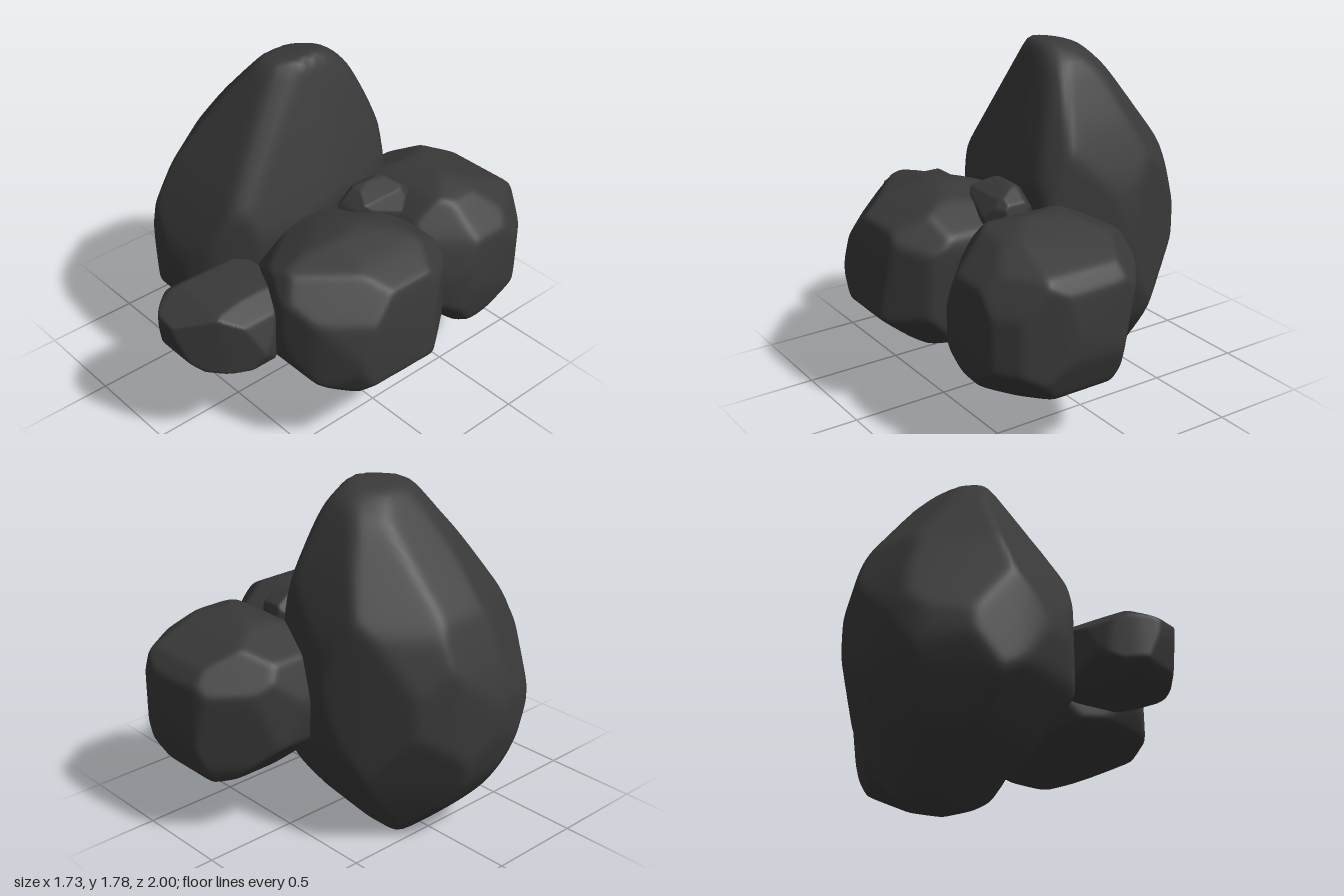
import * as THREE from 'three';
import { mergeVertices } from 'three/addons/utils/BufferGeometryUtils.js';

const P = 80;        // edge sharpness: higher gives crisper facets
const SWELL = 1.013; // makes up for the slight shrinkage of the soft facets

const X = new THREE.Vector3(1, 0, 0);
const Y = new THREE.Vector3(0, 1, 0);
const Z = new THREE.Vector3(0, 0, 1);
const U = new THREE.Vector3(0.819, 0, -0.574); // diagonal, front left to back right
const W = new THREE.Vector3(0.766, 0, 0.643);  // the other diagonal

// A rock is a ball trimmed by the planes of its outlines: front (x,y), side (z,y), top (x,z)
// and the diagonals (u,y) and (w,y), then by blunt corners and extra facets [normal, point].
function rockGeometry({ centre, front, side, top, diagonalU = [], diagonalW = [], blunt, facets = [] }) {
  const c = new THREE.Vector3(...centre);
  const planes = []; // each normal is divided by its distance from the centre
  const outline = (points, A, B) => {
    const pts = points.map(([a, b]) => [a - A.dot(c), b - B.dot(c)]);
    pts.forEach((p, i) => {
      const q = pts[(i + 1) % pts.length];
      let a = q[1] - p[1], b = p[0] - q[0];
      if (a * p[0] + b * p[1] < 0) [a, b] = [-a, -b];
      const h = Math.max(...pts.map((s) => a * s[0] + b * s[1]));
      planes.push(new THREE.Vector3().addScaledVector(A, a / h).addScaledVector(B, b / h));
    });
  };
  outline(front, X, Y);
  outline(side, Z, Y);
  outline(top, X, Z);
  outline(diagonalU, U, Y);
  outline(diagonalW, W, Y);

  // blunt corners, one for each octant
  if (blunt) {
    const spans = [front.map((p) => p[0]), front.map((p) => p[1]), side.map((p) => p[0])];
    for (let i = 0; i < 8; i++) {
      const n = spans.map((s, k) =>
        1 / (blunt * (((i >> k) & 1 ? Math.max(...s) : Math.min(...s)) - centre[k])));
      planes.push(new THREE.Vector3(...n));
    }
  }
  for (const [normal, point] of facets) {
    const n = new THREE.Vector3(...normal);
    planes.push(n.divideScalar(n.dot(new THREE.Vector3(...point).sub(c))));
  }

  let geo = new THREE.IcosahedronGeometry(1, 32);
  geo.deleteAttribute('normal');
  geo.deleteAttribute('uv');
  geo = mergeVertices(geo, 1e-5);
  const pos = geo.attributes.position, d = new THREE.Vector3();
  for (let i = 0; i < pos.count; i++) {
    d.fromBufferAttribute(pos, i).normalize();
    const reach = planes.map((n) => Math.max(0, n.dot(d)));
    const m = Math.max(...reach);
    const sum = reach.reduce((s, r) => s + Math.pow(r / m, P), 0);
    d.multiplyScalar(SWELL / (m * Math.pow(sum, 1 / P))).add(c);
    pos.setXYZ(i, d.x, d.y, d.z);
  }
  geo.computeVertexNormals();
  return geo;
}

const rocks = {
  // tall pointed rock with a flat right-hand face
  tallRock: {
    centre: [-0.33, 0.8, 0.05],
    front: [[-0.04, 1.79], [-0.27, 1.74], [-0.71, 1.22], [-0.82, 0.95], [-0.87, 0.75], [-0.85, 0.6],
      [-0.79, 0.4], [-0.68, 0.23], [-0.54, 0.09], [-0.44, 0.01], [-0.23, -0.01], [-0.14, 0.04],
      [-0.06, 0.14], [0.04, 0.36], [0.1, 0.6], [0.17, 1.08], [0.08, 1.42]],
    side: [[0.12, 1.77], [0, 1.8], [-0.14, 1.78], [-0.26, 1.69], [-0.4, 1.4], [-0.5, 1.1], [-0.53, 0.85],
      [-0.5, 0.6], [-0.42, 0.36], [-0.19, 0.03], [0, -0.01], [0.13, 0.07], [0.37, 0.23], [0.6, 0.52],
      [0.65, 0.72], [0.62, 0.87], [0.49, 1.16]],
    top: [[-0.28, -0.53], [0.13, -0.4], [0.17, -0.2], [0.16, 0.1], [0.1, 0.4], [-0.06, 0.58], [-0.22, 0.65],
      [-0.33, 0.65], [-0.48, 0.6], [-0.7, 0.48], [-0.83, 0.27], [-0.87, 0.12], [-0.82, -0.11],
      [-0.72, -0.31], [-0.47, -0.45]],
    diagonalU: [[-0.855, 0.7], [-0.684, 1.18], [-0.473, 1.49], [-0.25, 1.74], [0.01, 1.79], [0.13, 1.66],
      [0.22, 1.46], [0.31, 1.18], [0.36, 0.85], [0.33, 0.5], [0.17, 0.2], [-0.18, -0.01], [-0.4, 0.04],
      [-0.68, 0.27], [-0.79, 0.46], [-0.855, 0.64]],
    diagonalW: [[-0.13, 1.79], [-0.254, 1.75], [-0.4, 1.62], [-0.53, 1.4], [-0.67, 1.17], [-0.755, 0.86],
      [-0.755, 0.71], [-0.61, 0.31], [-0.47, 0.03], [-0.25, -0.01], [-0.1, -0.01], [0.07, 0.05],
      [0.34, 0.47], [0.4, 0.75], [0.34, 1.1], [0.13, 1.5], [-0.01, 1.76]],
    facets: [
      [[0.93, 0.27, 0.2], [-0.04, 1.78, -0.02]],
      [[0.85, -0.45, 0.25], [0.01, 0.45, 0.3]],
    ],
  },
  // broad block on the left side
  sideRock: {
    centre: [0.43, 0.72, 0.15],
    blunt: 1.95,
    front: [[-0.06, 0.75], [0.06, 1], [0.2, 1.06], [0.37, 1.12], [0.46, 1.11], [0.64, 1.05], [0.8, 0.97],
      [0.82, 0.9], [0.865, 0.53], [0.7, 0.39], [0.6, 0.33], [0.3, 0.32], [0.04, 0.35], [-0.04, 0.42]],
    side: [[0.6, 0.9], [0.5, 1.07], [0.38, 1.12], [0.1, 1.12], [-0.08, 1.08], [-0.27, 0.96], [-0.29, 0.9],
      [-0.23, 0.4], [0, 0.32], [0.13, 0.36], [0.52, 0.5], [0.58, 0.6], [0.61, 0.75]],
    top: [[0.3, -0.28], [0.5, -0.3], [0.65, -0.28], [0.71, -0.25], [0.82, -0.1], [0.865, -0.03], [0.83, 0.39],
      [0.65, 0.53], [0.48, 0.6], [0.4, 0.57], [0.08, 0.42], [-0.06, 0.25], [-0.02, -0.1]],
    diagonalU: [[0.75, 0.5], [0.765, 0.8], [0.72, 0.98], [0.56, 1.09], [0.35, 1.13], [0.1, 1.07], [-0.05, 0.99],
      [-0.16, 0.85], [-0.2, 0.6], [-0.05, 0.37], [0.05, 0.33], [0.39, 0.31], [0.55, 0.34]],
    diagonalW: [[0.895, 0.63], [0.84, 0.84], [0.69, 1.03], [0.4, 1.13], [0.1, 1.02], [-0.08, 0.8], [-0.08, 0.5],
      [-0.04, 0.36], [0.085, 0.32], [0.69, 0.36], [0.82, 0.42]],
  },
  // rounded block at the back
  backRock: {
    centre: [0.28, 0.7, -0.62],
    blunt: 1.95,
    front: [[0.04, 0.36], [0.25, 0.3], [0.55, 0.265], [0.61, 0.285], [0.69, 0.4], [0.735, 0.62], [0.71, 0.88],
      [0.55, 1.05], [0.38, 1.11], [0.15, 1.09], [-0.1, 0.97], [-0.19, 0.75], [-0.15, 0.55]],
    side: [[-0.22, 0.8], [-0.28, 0.96], [-0.4, 1.06], [-0.55, 1.11], [-0.7, 1.06], [-0.92, 0.96], [-0.98, 0.88],
      [-1, 0.7], [-0.98, 0.55], [-0.9, 0.36], [-0.86, 0.33], [-0.62, 0.265], [-0.55, 0.28], [-0.25, 0.53]],
    top: [[0.12, -0.98], [0.38, -1], [0.62, -0.9], [0.71, -0.78], [0.735, -0.47], [0.69, -0.37], [0.62, -0.29],
      [0.3, -0.22], [0, -0.26], [-0.17, -0.42], [-0.19, -0.53], [-0.1, -0.78], [0.03, -0.95]],
    diagonalU: [[1.035, 0.51], [1.035, 0.76], [0.95, 0.95], [0.78, 1.07], [0.576, 1.12], [0.25, 1.08],
      [0.08, 0.8], [0.13, 0.5], [0.5, 0.27], [0.75, 0.26], [0.87, 0.34]],
    diagonalW: [[-0.07, 1.12], [-0.43, 1.07], [-0.58, 0.84], [-0.52, 0.43], [-0.44, 0.28], [-0.1, 0.26],
      [0.2, 0.37], [0.3, 0.46], [0.31, 0.62], [0.23, 0.88], [0.1, 1.09]],
  },
  // low stone at the front
  frontStone: {
    centre: [0.18, 0.71, 0.68],
    blunt: 2,
    front: [[-0.115, 0.68], [-0.09, 0.8], [0.02, 0.89], [0.1, 0.9], [0.3, 0.89], [0.41, 0.82], [0.475, 0.66],
      [0.43, 0.57], [0.33, 0.54], [0, 0.55], [-0.1, 0.63]],
    side: [[1.01, 0.8], [0.83, 0.88], [0.6, 0.9], [0.45, 0.88], [0.36, 0.72], [0.45, 0.55], [0.6, 0.54],
      [0.9, 0.555], [0.95, 0.6]],
    top: [[0.12, 0.39], [0.2, 0.41], [0.44, 0.6], [0.475, 0.68], [0.35, 0.84], [0.17, 1], [0.05, 0.99],
      [-0.02, 0.92], [-0.1, 0.8], [-0.115, 0.74], [-0.06, 0.58]],
  },
  // small stone wedged between the larger ones
  smallStone: {
    centre: [0.28, 1, -0.17],
    blunt: 1.85,
    front: [[0.16, 1], [0.18, 1.12], [0.24, 1.16], [0.35, 1.11], [0.41, 1.02], [0.38, 0.88], [0.2, 0.86]],
    side: [[0.02, 1], [-0.02, 1.08], [-0.09, 1.145], [-0.17, 1.16], [-0.27, 1.15], [-0.35, 1.09], [-0.37, 0.98],
      [-0.28, 0.86], [-0.05, 0.86]],
    top: [[0.17, -0.31], [0.24, -0.37], [0.34, -0.36], [0.41, -0.25], [0.37, -0.08], [0.31, 0], [0.22, 0.01],
      [0.16, -0.07]],
  },
};

export function createModel() {
  const group = new THREE.Group();
  group.name = 'rockCluster';
  const stone = new THREE.MeshStandardMaterial({ color: 0x393939 });
  for (const [name, shape] of Object.entries(rocks)) {
    const mesh = new THREE.Mesh(rockGeometry(shape), stone);
    mesh.name = name;
    group.add(mesh);
  }
  return group;
}
